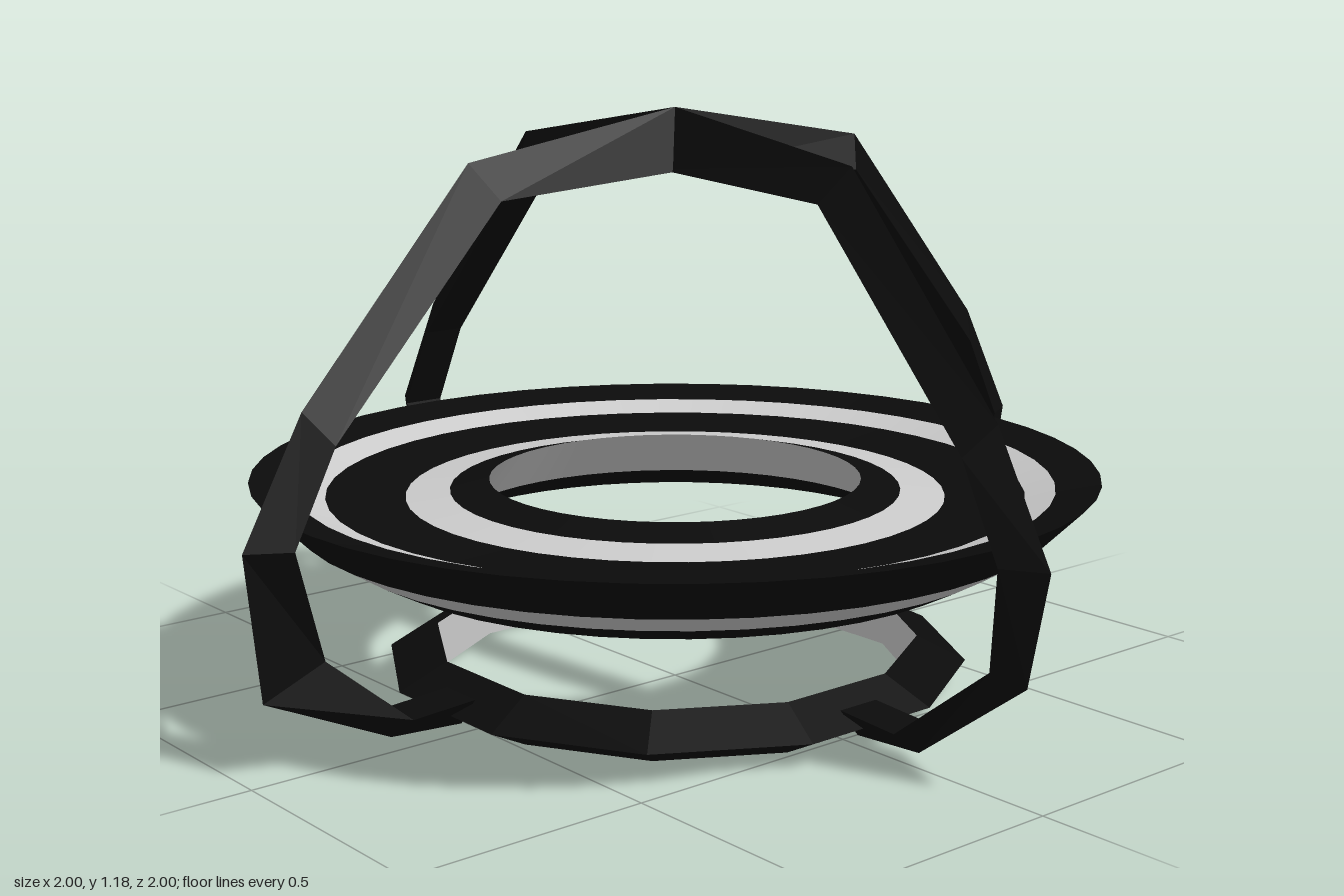
import * as THREE from 'three';

const dark = new THREE.MeshStandardMaterial({ color: 0x0b0b0b });
const darkFlat = new THREE.MeshStandardMaterial({ color: 0x0b0b0b, flatShading: true });
const grey = new THREE.MeshStandardMaterial({ color: 0xcccccc });
const greyFlat = new THREE.MeshStandardMaterial({ color: 0xcccccc, flatShading: true });

// Surface of revolution through [radius, height] points
function band(name, points, segments, material, phase = 0) {
  const profile = points.map(([r, y]) => new THREE.Vector2(r, y));
  const mesh = new THREE.Mesh(new THREE.LatheGeometry(profile, segments, phase), material);
  mesh.name = name;
  return mesh;
}

// Triangular strut: flat inner face, ridge on the outside.
// Stations are [inner radius, inner y, ridge radius, ridge y, half width].
function strutGeometry(stations) {
  const positions = [];
  const sections = stations.map(([ri, yi, ro, yo, h]) => [[ri, yi, h], [ro, yo, 0], [ri, yi, -h]]);
  for (let i = 0; i < sections.length - 1; i++) {
    const a = sections[i], b = sections[i + 1];
    for (let k = 0; k < 3; k++) {
      const n = (k + 1) % 3;
      positions.push(...a[k], ...b[k], ...b[n], ...a[k], ...b[n], ...a[n]);
    }
  }
  const geometry = new THREE.BufferGeometry();
  geometry.setAttribute('position', new THREE.Float32BufferAttribute(positions, 3));
  geometry.computeVertexNormals();
  return geometry;
}

export function createModel() {
  const model = new THREE.Group();
  model.name = 'cagedRing';

  // Dished ring: closed profile split into alternating dark and grey bands
  const ring = new THREE.Group();
  ring.name = 'dishedRing';
  const profile = [
    [0.46, 0.33], [0.55, 0.28], [0.63, 0.28], [0.70, 0.317], [0.77, 0.36], [0.86, 0.45],
    [0.77, 0.43], [0.71, 0.41], [0.55, 0.40], [0.46, 0.41], [0.38, 0.43], [0.46, 0.33],
  ];
  const greyBands = new Set([3, 6, 8, 10]);
  for (let i = 0; i < profile.length - 1; i++) {
    const isGrey = greyBands.has(i);
    ring.add(band(isGrey ? 'greyBand' : 'darkBand', [profile[i], profile[i + 1]], 48, isGrey ? grey : dark));
  }
  model.add(ring);

  // Twelve-sided foot ring with a grey inner face
  const foot = new THREE.Group();
  foot.name = 'footRing';
  const phase = Math.PI / 12;
  foot.add(band('footOuter', [[0.5, 0], [0.6, 0.05], [0.5, 0.1]], 12, darkFlat, phase));
  foot.add(band('footInner', [[0.5, 0.1], [0.5, 0]], 12, greyFlat, phase));
  model.add(foot);

  // Four cage arms meeting at the crown; the one at -x has a lower elbow
  const w = 0.047;
  const elbow = [0.87, 0.23, 0.955, 0.22, 0.004];
  const lowElbow = [0.84, 0.21, 0.97, 0.155, 0.004];
  for (let i = 0; i < 4; i++) {
    const arm = new THREE.Mesh(strutGeometry([
      [0, 1.06, 0, 1.18, w],
      [0.46, 1.03, 0.5, 1.10, w],
      [0.83, 0.62, 0.87, 0.68, w],
      [0.92, 0.44, 1.0, 0.44, w],
      i === 2 ? lowElbow : elbow,
      [0.68, 0.072, 0.70, 0.03, w],
      [0.54, 0.08, 0.54, 0.02, w],
    ]), darkFlat);
    arm.name = 'cageArm';
    arm.rotation.y = i * Math.PI / 2;
    model.add(arm);
  }
  return model;
}
